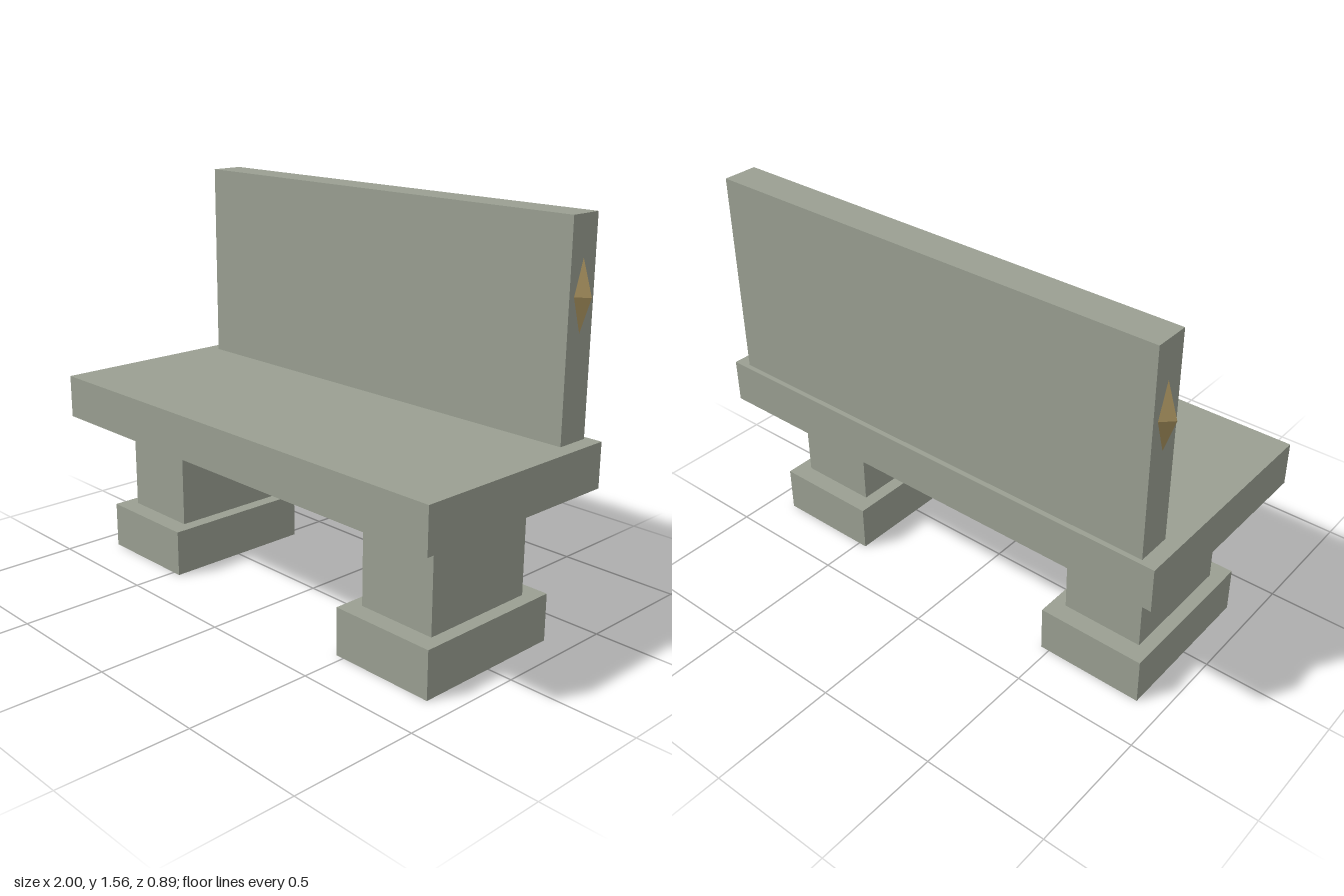
import * as THREE from 'three';

export function createModel() {
  const bench = new THREE.Group();
  bench.name = 'stoneBench';

  const stone = new THREE.MeshStandardMaterial({ color: 0x9a9f92 });
  stone.name = 'greyStone';
  const brass = new THREE.MeshStandardMaterial({ color: 0xa8925f });
  brass.name = 'dullBrass';

  // Box given by its width, depth and vertical extent
  function block(parent, name, width, depth, y0, y1, z = 0) {
    const mesh = new THREE.Mesh(new THREE.BoxGeometry(width, y1 - y0, depth), stone);
    mesh.name = name;
    mesh.position.set(0, (y0 + y1) / 2, z);
    parent.add(mesh);
  }

  // Seat slab and backrest
  block(bench, 'seat', 2, 0.894, 0.586, 0.76);
  block(bench, 'backrest', 1.88, 0.136, 0.76, 1.56, -0.359);

  for (const [side, sign] of [['left', 1], ['right', -1]]) {
    // Pedestal: plinth, shaft and cap
    const pedestal = new THREE.Group();
    pedestal.name = side + 'Pedestal';
    pedestal.position.x = sign * 0.682;
    block(pedestal, 'plinth', 0.435, 0.634, 0, 0.187);
    block(pedestal, 'shaft', 0.328, 0.486, 0.187, 0.518);
    block(pedestal, 'cap', 0.406, 0.594, 0.518, 0.586);
    bench.add(pedestal);

    // Diamond stud set into the end of the backrest
    const stud = new THREE.Mesh(new THREE.OctahedronGeometry(1), brass);
    stud.name = side + 'DiamondStud';
    stud.scale.set(0.043, 0.133, 0.043);
    stud.position.set(sign * 0.939, 1.281, -0.359);
    bench.add(stud);
  }

  return bench;
}
